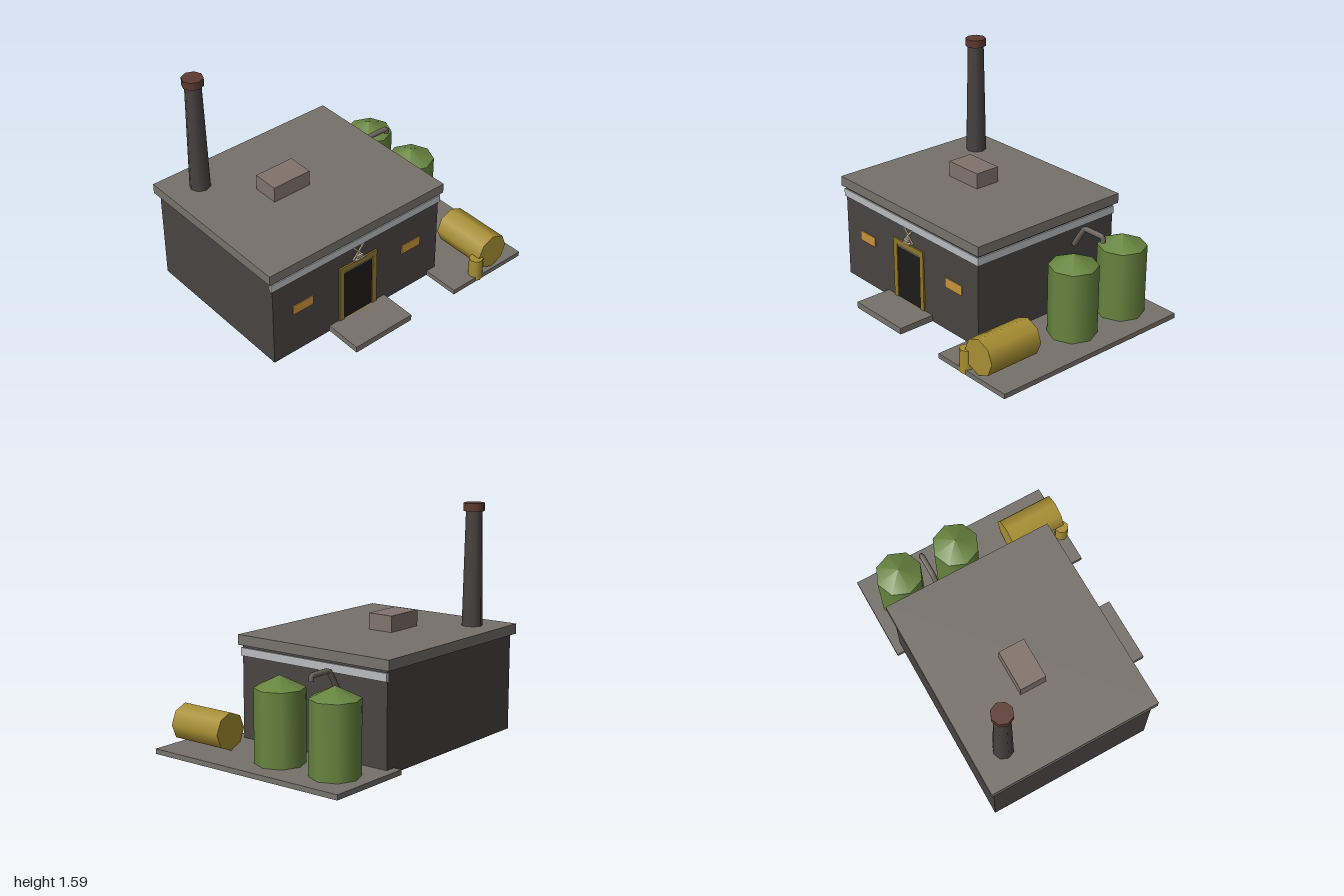
import * as THREE from 'three';

export function createModel() {
  const model = new THREE.Group();
  const colors = {
    wall: 0x484442, roof: 0x76716a, vent: 0x80736b, band: 0xb8bbbe, frame: 0x92762a,
    dark: 0x1c1b19, lintel: 0x5e5a48, window: 0xc8923a, green: 0x67853f, yellow: 0xa88f33,
    chimney: 0x464240, cap: 0x5c3a30, pipe: 0x70675f, emblem: 0xb9ad93,
  };
  const mats = {};
  for (const key in colors) mats[key] = new THREE.MeshStandardMaterial({ color: colors[key] });
  mats.pipe.side = THREE.DoubleSide;

  const add = (name, geometry, mat, x = 0, y = 0, z = 0, parent = model) => {
    const mesh = new THREE.Mesh(geometry, mats[mat]);
    mesh.name = name;
    mesh.position.set(x, y, z);
    parent.add(mesh);
    return mesh;
  };
  // box given by its extents on each axis
  const box = (name, mat, x0, x1, y0, y1, z0, z1, parent) =>
    add(name, new THREE.BoxGeometry(x1 - x0, y1 - y0, z1 - z0), mat,
      (x0 + x1) / 2, (y0 + y1) / 2, (z0 + z1) / 2, parent);
  // upright eight-sided cylinder standing on y0
  const post = (name, mat, rTop, rBottom, y0, y1, x, z, parent) =>
    add(name, new THREE.CylinderGeometry(rTop, rBottom, y1 - y0, 8), mat, x, (y0 + y1) / 2, z, parent);

  // Building
  box('walls', 'wall', -0.97, 0.44, 0, 0.68, -0.713, 0.485);
  box('roofSlab', 'roof', -1, 0.465, 0.675, 0.745, -0.742, 0.505);
  box('frontBand', 'band', -0.983, 0.45, 0.6, 0.655, 0.475, 0.494);
  box('sideBand', 'band', 0.43, 0.45, 0.6, 0.655, -0.715, 0.49);
  box('roofVent', 'vent', -0.51, -0.215, 0.74, 0.857, -0.255, -0.065);

  // Chimney
  post('chimneyStack', 'chimney', 0.056, 0.072, 0.74, 1.54, -0.77, -0.53);
  post('chimneyCap', 'cap', 0.073, 0.073, 1.53, 1.585, -0.77, -0.53);

  // Doorway
  const door = new THREE.Group();
  door.name = 'doorway';
  model.add(door);
  const outline = new THREE.Shape([[-0.43, 0.04], [-0.11, 0.04], [-0.11, 0.485], [-0.43, 0.485]]
    .map(p => new THREE.Vector2(...p)));
  outline.holes.push(new THREE.Path([[-0.39, 0.045], [-0.39, 0.45], [-0.147, 0.45], [-0.147, 0.045]]
    .map(p => new THREE.Vector2(...p))));
  add('doorFrame', new THREE.ExtrudeGeometry(outline, { depth: 0.016, bevelEnabled: false }),
    'frame', 0, 0, 0.48, door);
  box('doorPanel', 'dark', -0.39, -0.147, 0.045, 0.45, 0.47, 0.488, door);
  box('doorLintel', 'lintel', -0.39, -0.147, 0.431, 0.45, 0.475, 0.492, door);
  box('frontStep', 'roof', -0.51, -0.03, 0, 0.045, 0.48, 0.755);

  // Crossed bars and small stand above the door
  const ornament = new THREE.Group();
  ornament.name = 'doorOrnament';
  model.add(ornament);
  for (const s of [-1, 1]) {
    const bar = add('crossedBar', new THREE.BoxGeometry(0.012, 0.14, 0.01), 'emblem', -0.268, 0.55, 0.493, ornament);
    bar.rotation.z = s * 0.72;
  }
  box('standTop', 'emblem', -0.293, -0.243, 0.514, 0.532, 0.483, 0.512, ornament);
  box('standBase', 'emblem', -0.307, -0.229, 0.492, 0.504, 0.483, 0.512, ornament);

  // Windows
  for (const x of [-0.73, 0.198]) box('window', 'window', x - 0.082, x + 0.082, 0.32, 0.39, 0.478, 0.491);

  // Side yard with tanks
  box('yardSlab', 'roof', 0.365, 1, 0, 0.035, -0.77, 0.755);
  for (const z of [-0.528, -0.083]) {
    const tank = new THREE.Group();
    tank.name = 'uprightTank';
    tank.position.set(0.72, 0, z);
    model.add(tank);
    post('tankBody', 'green', 0.166, 0.166, 0.03, 0.525, 0, 0, tank);
    add('tankCone', new THREE.ConeGeometry(0.166, 0.08, 8), 'green', 0, 0.565, 0, tank);
  }
  const lying = add('lyingTank', new THREE.CylinderGeometry(0.128, 0.128, 0.41, 8), 'yellow', 0.737, 0.168, 0.534);
  lying.rotation.x = Math.PI / 2;
  post('smallDrum', 'yellow', 0.049, 0.049, 0.005, 0.17, 0.603, 0.718);

  // Pipe from the wall over to the tanks
  const path = new THREE.CatmullRomCurve3([
    [0.457, 0.488], [0.552, 0.637], [0.72, 0.637], [0.722, 0.6],
  ].map(([x, y]) => new THREE.Vector3(x, y, -0.342)), false, 'catmullrom', 0.05);
  add('pipe', new THREE.TubeGeometry(path, 24, 0.019, 6, false), 'pipe');

  return model;
}
